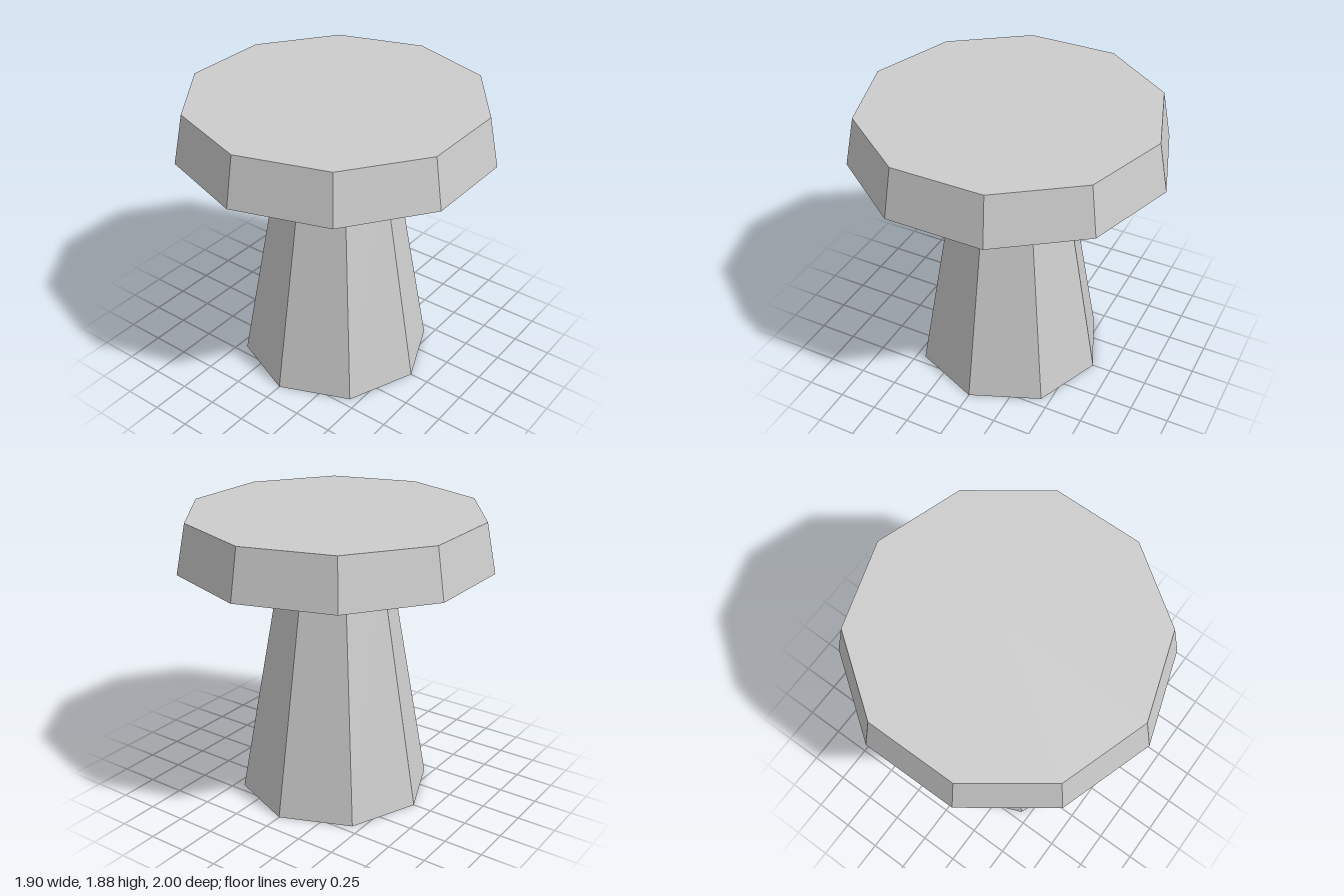
import * as THREE from 'three';

export function createModel() {
  const group = new THREE.Group();
  const stone = new THREE.MeshStandardMaterial({ color: 0xcccccc, flatShading: true });
  stone.name = 'paleGrey';

  // Tapered prism standing between two heights, one corner facing front
  const addPrism = (name, topRadius, bottomRadius, y0, y1, sides) => {
    const geometry = new THREE.CylinderGeometry(topRadius, bottomRadius, y1 - y0, sides);
    const mesh = new THREE.Mesh(geometry, stone);
    mesh.name = name;
    mesh.position.y = (y0 + y1) / 2;
    group.add(mesh);
  };

  // Eight-sided stem, wide at the foot
  addPrism('stem', 0.344, 0.625, 0, 1.5625, 8);
  // Ten-sided cap, slightly narrower at the top
  addPrism('cap', 0.9375, 1, 1.5625, 1.875, 10);

  return group;
}
